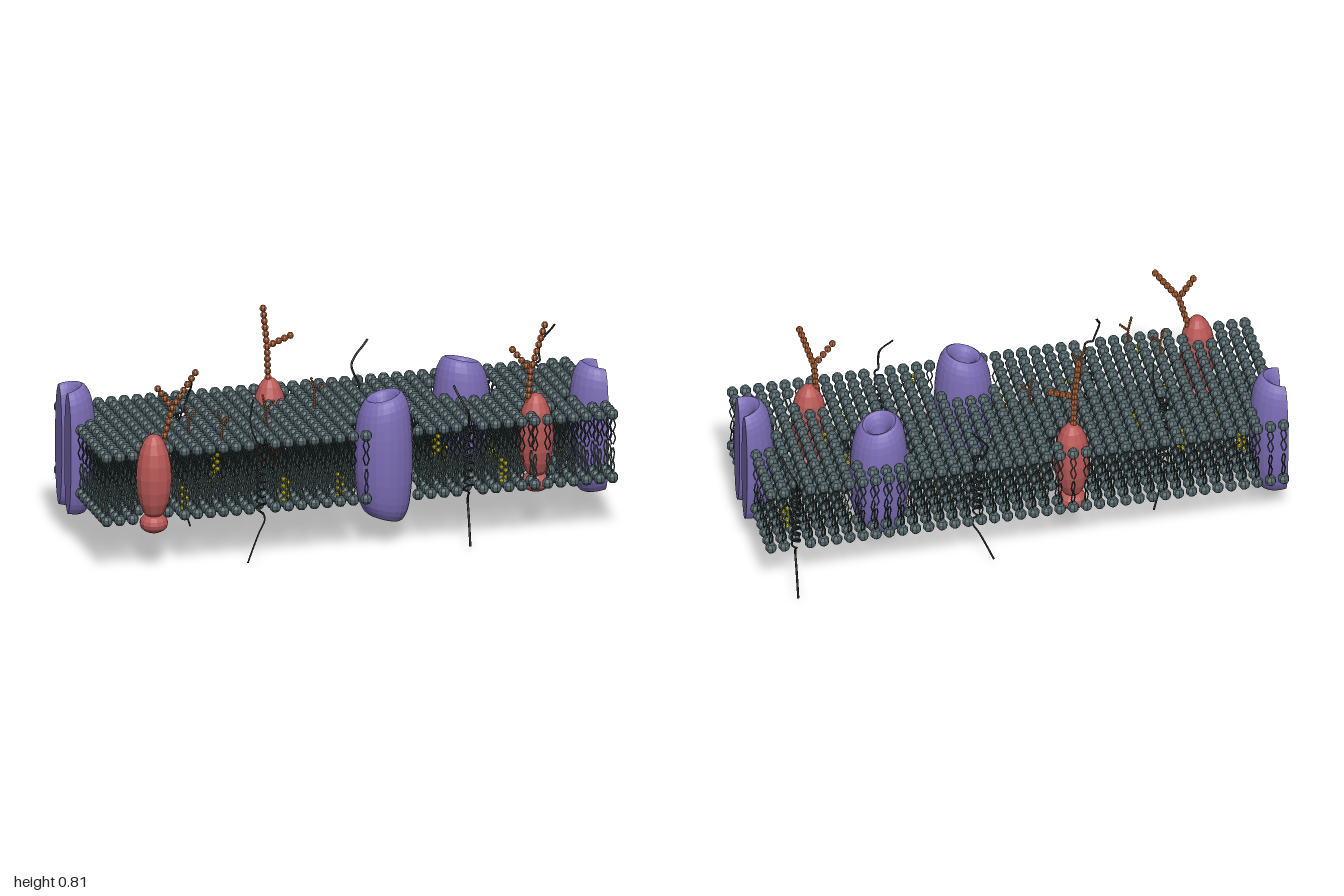
import * as THREE from 'three';
import { mergeGeometries } from 'three/addons/utils/BufferGeometryUtils.js';

const material = (color, extra = {}) =>
  new THREE.MeshStandardMaterial({ color, flatShading: true, ...extra });
const headMat = material(0x4f6266);
const tailMat = material(0x2c3837);
const channelMat = material(0x7b6cb4, { side: THREE.DoubleSide });
const proteinMat = material(0xb85856);
const sugarMat = material(0xa3582c);
const sterolMat = material(0xd8c813);
const helixMat = material(0x222528, { flatShading: false });

const MID = 0.328; // middle height of the membrane
const v3 = (x, y, z = 0) => new THREE.Vector3(x, y, z);

function addMesh(parent, name, geometry, mat) {
  const mesh = new THREE.Mesh(geometry, mat);
  mesh.name = name;
  parent.add(mesh);
  return mesh;
}

// Placement: x, z and heading of every embedded part
const channels = [
  { x: 0.12, z: 0.22, turn: 0 },
  { x: 0.52, z: -0.13, turn: -2.64 },
  { x: -1, z: -0.185, turn: 0, half: true },
  { x: 1, z: 0.075, turn: Math.PI, half: true },
];
const proteins = [
  { x: -0.79, z: 0.31, chain: [[-0.755, 0.49], [-0.72, 0.62], [-0.775, 0.7], [-0.63, 0.75]] },
  { x: -0.19, z: -0.235, chain: [[-0.195, 0.5], [-0.2, 0.645], [-0.215, 0.795], [-0.11, 0.68]] },
  { x: 0.71, z: 0.213, chain: [[0.68, 0.49], [0.69, 0.61], [0.62, 0.7], [0.745, 0.785]] },
];
const helices = [
  { x: -0.57, z: -0.1, deg: -42 },
  { x: -0.38, z: 0.32, deg: 155 },
  { x: 0.18, z: -0.28, deg: 209 },
  { x: 0.42, z: 0.32, deg: 99 },
  { x: 0.88, z: -0.325, deg: -85 },
];

// Lipid sheets: heads with pairs of zigzag tails, left out around embedded parts
function createLipids(group) {
  const head = new THREE.SphereGeometry(0.0225, 8, 5);
  const tailPair = [1, -1].map((side) => {
    const pts = [0, 1, 2, 3, 4].map((i) => {
      const w = side * (i % 2 ? 0.009 : 0.002);
      return v3(w, -0.015 - i * 0.0255, w);
    });
    return new THREE.TubeGeometry(new THREE.CatmullRomCurve3(pts), 4, 0.0032, 3);
  });
  const tails = mergeGeometries(tailPair);

  const blocked = (x, z) => {
    const near = (list, r) => list.some((p) => Math.hypot(p.x - x, p.z - z) < r);
    return near(channels, 0.125) || near(proteins, 0.07) || near(helices, 0.028);
  };

  for (const [name, flip, y] of [['upper', 0, 0.451], ['lower', Math.PI, 0.205]]) {
    const heads = [], tailList = [];
    for (let i = 0; i < 40; i++) {
      for (let j = 0; j < 14; j++) {
        const x = -0.975 + i * 0.05, z = -0.325 + j * 0.05;
        if (blocked(x, z)) continue;
        const m = new THREE.Matrix4().makeRotationX(flip).setPosition(x, y, z);
        heads.push(head.clone().applyMatrix4(m));
        tailList.push(tails.clone().applyMatrix4(m));
      }
    }
    addMesh(group, name + 'LipidHeads', mergeGeometries(heads), headMat);
    addMesh(group, name + 'LipidTails', mergeGeometries(tailList), tailMat);
  }
}

// Barrel with a flared pore; one side is a little taller than the other
function createChannel({ x, z, turn, half }) {
  const side = [[0.109, 0], [0.104, 0.12], [0.088, 0.2], [0.062, 0.235], [0.037, 0.205], [0.021, 0.12]];
  const lower = [[0.016, 0], ...side.slice(1).reverse().map(([r, y]) => [r, -y])];
  const curve = new THREE.CatmullRomCurve3([...side, ...lower].map(([r, y]) => v3(r, y)), true);
  const profile = curve.getPoints(32).map((p) => new THREE.Vector2(p.x, p.y));

  const wedge = (geometry) => {
    const p = geometry.attributes.position;
    for (let i = 0; i < p.count; i++) {
      p.setY(i, p.getY(i) * (1 + 1.1 * p.getX(i)));
      if (half) p.setX(i, p.getX(i) * 1.13);
    }
    geometry.computeVertexNormals();
    return geometry;
  };

  const group = new THREE.Group();
  group.name = half ? 'cutChannel' : 'channel';
  const body = new THREE.LatheGeometry(profile, half ? 12 : 24, 0, half ? Math.PI : Math.PI * 2);
  addMesh(group, 'channelWall', wedge(body), channelMat);
  if (half) {
    for (const s of [1, -1]) {
      const cap = new THREE.ShapeGeometry(new THREE.Shape(profile));
      addMesh(group, 'channelCutFace', cap.rotateY(s * Math.PI / 2), channelMat);
    }
  }
  group.position.set(x, 0.332, z);
  group.rotation.y = turn;
  return group;
}

// Forked chain of sugar beads: stem from base to fork, then two branches
function createSugarChain([base, fork, left, right], z, r) {
  const beads = [];
  for (const [a, b] of [[base, fork], [fork, left], [fork, right]]) {
    const n = Math.max(2, Math.round(Math.hypot(b[0] - a[0], b[1] - a[1]) / (r * 1.9)));
    for (let i = 0; i <= n; i++) {
      const t = i / n;
      beads.push(new THREE.SphereGeometry(r, 7, 5)
        .translate(a[0] + (b[0] - a[0]) * t, a[1] + (b[1] - a[1]) * t, z));
    }
  }
  return mergeGeometries(beads);
}

// Coiled strand through the membrane with loose ends above and below
function createHelix({ x, z, deg }) {
  const pts = [v3(0.064, 0.002), v3(0.035, 0.06), v3(0.008, 0.11), v3(-0.018, 0.15), v3(-0.014, 0.175)];
  const turns = 9, per = 8;
  for (let i = 0; i <= turns * per; i++) {
    const a = (i / per) * Math.PI * 2;
    pts.push(v3(0.016 * Math.cos(a), 0.2 + (0.26 * i) / (turns * per), 0.016 * Math.sin(a)));
  }
  pts.push(v3(0.03, 0.485), v3(0.042, 0.52, 0.005), v3(0.03, 0.555, 0.025), v3(0.008, 0.585, 0.042), v3(-0.008, 0.61, 0.054));
  const curve = new THREE.CatmullRomCurve3(pts);
  curve.arcLengthDivisions = 800;
  const mesh = new THREE.Mesh(new THREE.TubeGeometry(curve, 190, 0.0042, 4), helixMat);
  mesh.name = 'helixStrand';
  mesh.position.set(x, 0, z);
  mesh.rotation.y = -THREE.MathUtils.degToRad(deg);
  return mesh;
}

export function createModel() {
  const model = new THREE.Group();
  model.name = 'cellMembrane';
  createLipids(model);
  channels.forEach((c) => model.add(createChannel(c)));
  helices.forEach((h) => model.add(createHelix(h)));

  // Egg-shaped proteins with a small bowl beneath and a sugar chain on top
  for (const { x, z, chain } of proteins) {
    const group = new THREE.Group();
    group.name = 'glycoprotein';
    addMesh(group, 'proteinBody', new THREE.SphereGeometry(1, 12, 10)
      .scale(0.068, 0.167, 0.068).translate(x, 0.358, z), proteinMat);
    addMesh(group, 'proteinFoot', new THREE.SphereGeometry(1, 12, 8)
      .scale(0.054, 0.038, 0.054).translate(x, 0.179, z), proteinMat);
    addMesh(group, 'sugarChain', createSugarChain(chain, z, 0.0135), sugarMat);
    model.add(group);
  }

  // Small sugar chains standing on the upper heads
  for (const [x, z] of [[-0.62, 0.18], [-0.52, 0.28], [-0.31, 0.14], [-0.08, -0.01]]) {
    const chain = [[x, 0.465], [x, 0.525], [x - 0.012, 0.58], [x + 0.03, 0.555]];
    addMesh(model, 'smallSugarChain', createSugarChain(chain, z, 0.0055), sugarMat);
  }

  // Sterols: short double columns of beads between the tails (x, z, lowest bead)
  const LOW = 0.222, HIGH = 0.35;
  const sterols = [
    [-0.67, 0.305, LOW], [-0.6, -0.25, HIGH], [-0.55, 0.3, HIGH], [-0.51, 0.1, LOW],
    [-0.28, 0.305, LOW], [-0.07, 0.305, LOW], [-0.78, -0.1, HIGH], [-0.82, -0.3, HIGH],
    [0.3, 0.305, HIGH], [0.4, 0.06, LOW], [0.56, 0.305, LOW], [0.59, 0.05, LOW],
    [0.7, 0.02, HIGH], [0.9, -0.23, LOW],
  ];
  const beads = [];
  for (const [x, z, y] of sterols) {
    for (let i = 0; i < 7; i++) {
      beads.push(new THREE.SphereGeometry(0.009, 6, 4)
        .translate(x + (i % 2 ? 0.008 : -0.008), y + i * 0.0135, z));
    }
  }
  addMesh(model, 'sterols', mergeGeometries(beads), sterolMat);
  return model;
}
